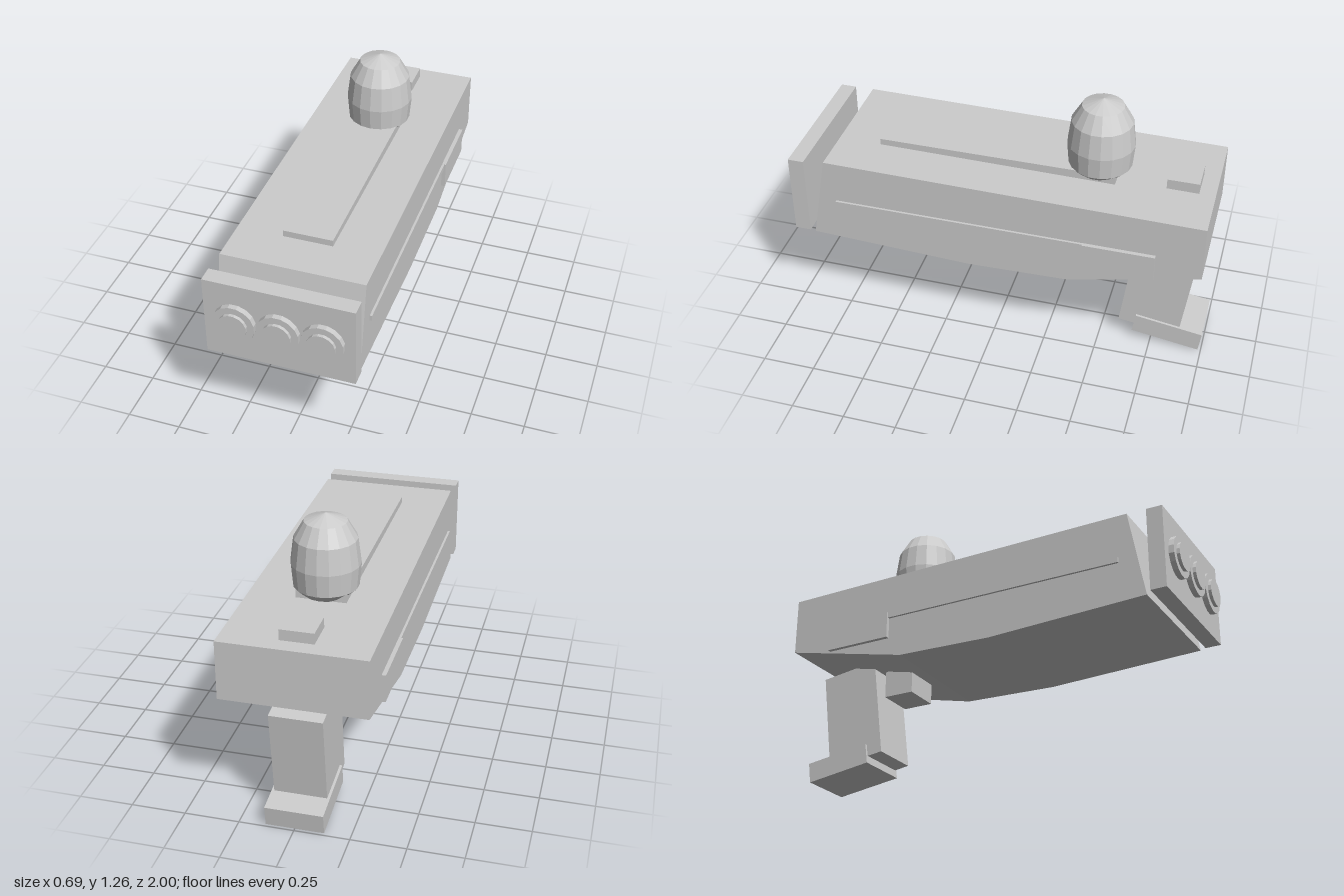
import * as THREE from 'three';

export function createModel() {
  const group = new THREE.Group();
  const grey = new THREE.MeshStandardMaterial({ color: 0xcccccc, flatShading: true });
  grey.name = 'light grey';

  const add = (name, geometry, x = 0, y = 0, z = 0) => {
    const mesh = new THREE.Mesh(geometry, grey);
    mesh.name = name;
    mesh.position.set(x, y, z);
    group.add(mesh);
    return mesh;
  };

  // Box given by its min and max corners
  const box = (name, [x0, y0, z0], [x1, y1, z1]) =>
    add(name, new THREE.BoxGeometry(x1 - x0, y1 - y0, z1 - z0),
      (x0 + x1) / 2, (y0 + y1) / 2, (z0 + z1) / 2);

  // Side profile of [z, y] points, extruded across x
  const slab = (name, points, halfWidth) => {
    const shape = new THREE.Shape(points.map(([z, y]) => new THREE.Vector2(-z, y)));
    const geometry = new THREE.ExtrudeGeometry(shape, { depth: halfWidth * 2, bevelEnabled: false });
    geometry.translate(0, 0, -halfWidth).rotateY(Math.PI / 2);
    return add(name, geometry);
  };

  // Main body
  slab('body', [[0.79, 0.905], [0.865, 0.49], [0.1, 0.457], [-0.37, 0.47],
    [-0.98, 0.61], [-0.98, 0.885]], 0.328);

  // Front plate with three stepped round nozzles
  box('frontPlate', [-0.338, 0.502, 0.885], [0.338, 0.897, 0.96]);
  const disc = (name, radius, x, z0, z1) => {
    const geometry = new THREE.CylinderGeometry(radius, radius, z1 - z0, 16);
    geometry.rotateY(Math.PI / 16).rotateX(Math.PI / 2);
    add(name, geometry, x, 0.7, (z0 + z1) / 2);
  };
  for (const x of [-0.197, 0, 0.197]) {
    disc('nozzleRing', 0.096, x, 0.95, 0.985);
    disc('nozzleCap', 0.065, x, 0.95, 1);
  }

  // Top rail and rear sight
  box('topRail', [-0.115, 0.88, -0.53], [0.113, 0.933, 0.588]);
  box('rearSight', [-0.079, 0.87, -0.905], [0.074, 0.936, -0.758]);

  // Side strips and plates
  for (const s of [-1, 1]) {
    const side = (name, depth, y0, y1, z0, z1) =>
      box(name, [Math.min(s * 0.32, s * depth), y0, z0], [Math.max(s * 0.32, s * depth), y1, z1]);
    side('sideStrip', 0.339, 0.672, 0.699, -0.6, 0.742);
    side('sidePlate', 0.347, 0.57, 0.7, -0.768, -0.436);
  }

  // Faceted dome
  const dome = [[0, 0.885], [0.1, 0.885], [0.147, 0.93], [0.156, 1.035],
    [0.141, 1.152], [0.096, 1.23], [0, 1.265]];
  add('dome', new THREE.LatheGeometry(dome.map(([r, y]) => new THREE.Vector2(r, y)), 18), 0, 0, -0.438);

  // Trigger, slanted grip and its foot
  box('trigger', [-0.09, 0.388, -0.6], [0.09, 0.52, -0.45]);
  slab('grip', [[-0.65, 0.575], [-0.59, 0.1], [-0.88, 0.06], [-0.94, 0.535]], 0.12);
  slab('gripFoot', [[-0.674, 0.148], [-0.66, 0.052], [-0.985, 0.004], [-0.998, 0.1]], 0.132);

  return group;
}
